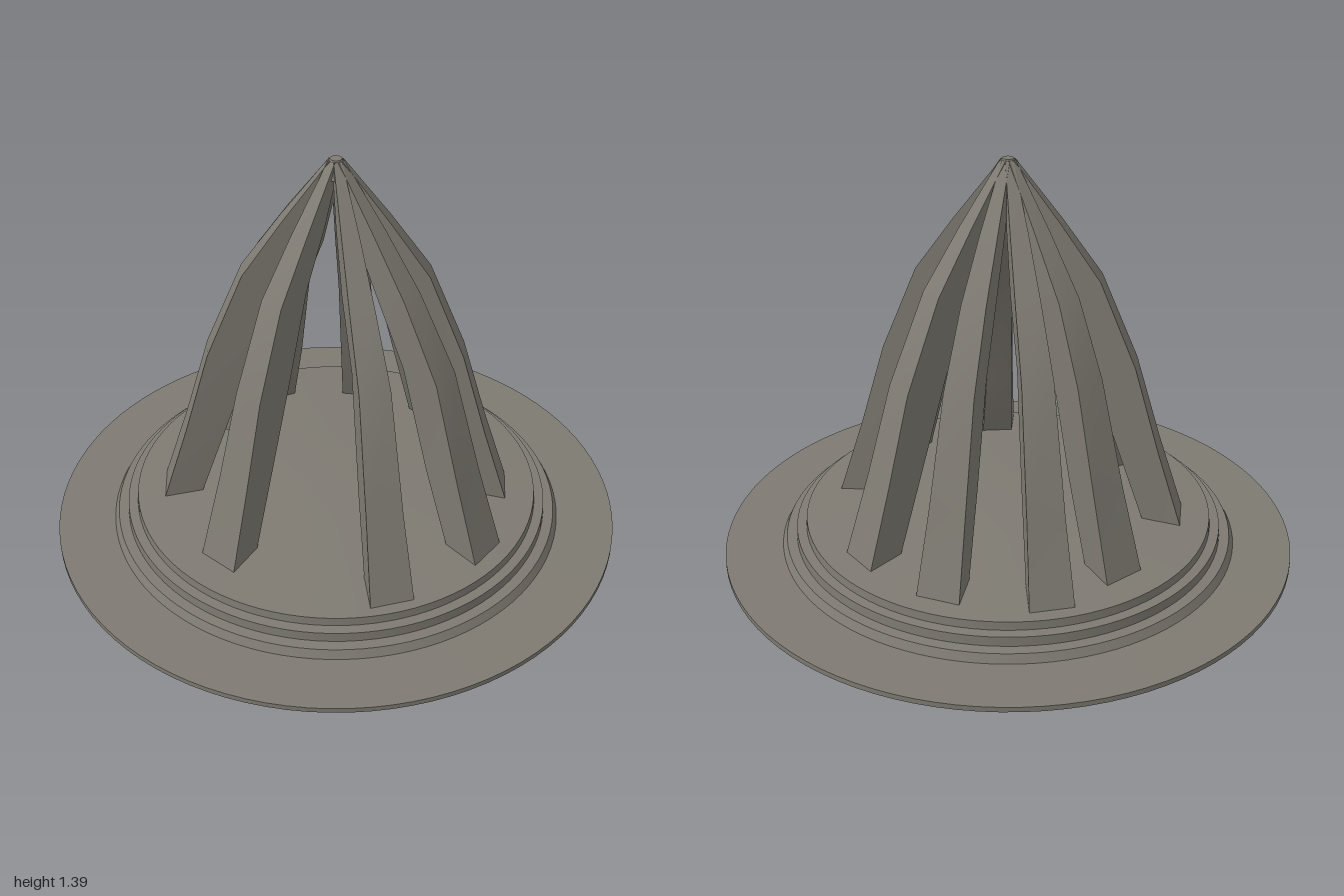
import * as THREE from 'three';
import { toCreasedNormals } from 'three/addons/utils/BufferGeometryUtils.js';

// Foot position of each rib on the base: [x, z, y of the shoulder bend]
const FEET = [
  [-0.02, 0.68, 0.8], [0.37, 0.55, 0.75], [0.57, 0.23, 0.7],
  [0.54, -0.33, 0.7], [0.29, -0.58, 0.75], [-0.07, -0.67, 0.8],
  [-0.33, -0.52, 0.75], [-0.6, -0.15, 0.7], [-0.52, 0.32, 0.7],
];

// Four-sided rib lofted through horizontal sections, local +z pointing outward
function ribGeometry(reach, bend) {
  // [height, outer radius, inner radius, half width]
  const sections = [
    [0.1, reach, reach - 0.13, 0.075],
    [0.4, reach * 0.845, reach * 0.845 - 0.14, 0.062],
    [bend, reach * 0.68 + (0.75 - bend) * 0.3, reach * 0.68 - 0.14, 0.052],
    [1.0, 0.31, 0.18, 0.042],
    [1.19, 0.175, 0.08, 0.03],
    [1.39, 0.022, -0.01, 0.014],
  ];
  const positions = [];
  const index = [];
  for (const [y, outer, inner, w] of sections) {
    positions.push(w, y, outer, w * 0.75, y, inner, -w * 0.75, y, inner, -w, y, outer);
  }
  for (let i = 0; i < sections.length - 1; i++) {
    for (let j = 0; j < 4; j++) {
      const a = i * 4 + j;
      const b = i * 4 + (j + 1) % 4;
      index.push(a, b, b + 4, a, b + 4, a + 4);
    }
  }
  const t = (sections.length - 1) * 4;
  index.push(0, 2, 1, 0, 3, 2, t, t + 1, t + 2, t, t + 2, t + 3);
  const geometry = new THREE.BufferGeometry();
  geometry.setAttribute('position', new THREE.Float32BufferAttribute(positions, 3));
  geometry.setIndex(index);
  return toCreasedNormals(geometry, 0.6);
}

export function createModel() {
  const group = new THREE.Group();
  const stone = new THREE.MeshStandardMaterial({ color: 0x7e7a72 });
  stone.name = 'warm grey';

  function add(name, geometry) {
    const mesh = new THREE.Mesh(geometry, stone);
    mesh.name = name;
    group.add(mesh);
    return mesh;
  }

  // Wide rim, three low steps and a slightly domed floor
  const profile = [
    [0, 0], [1, 0], [1, 0.018], [0.8, 0.022], [0.785, 0.05], [0.75, 0.052],
    [0.748, 0.085], [0.715, 0.087], [0.712, 0.116], [0.5, 0.128], [0.25, 0.143], [0, 0.15],
  ].map(([r, y]) => new THREE.Vector2(r, y));
  add('steppedBase', toCreasedNormals(new THREE.LatheGeometry(profile, 96), 0.5));

  // Ribs leaning inward to the apex
  FEET.forEach(([x, z, bend], i) => {
    const rib = add(`rib${i + 1}`, ribGeometry(Math.hypot(x, z), bend));
    rib.rotation.y = Math.atan2(x, z);
  });

  // Small cap joining the ribs
  const cap = add('apexCap', new THREE.CylinderGeometry(0.02, 0.045, 0.06, 16));
  cap.position.y = 1.365;

  return group;
}
